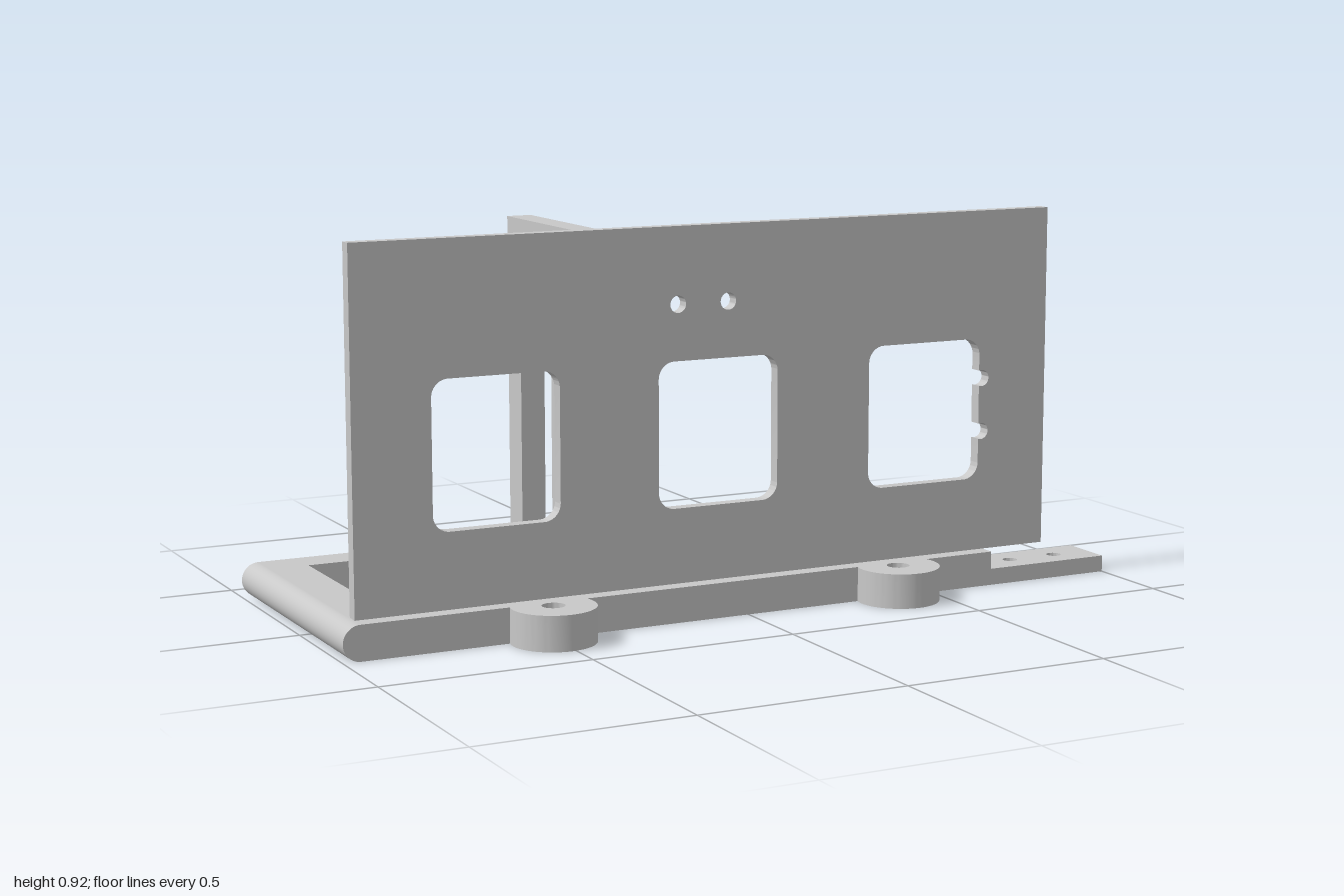
import * as THREE from 'three';
import { toCreasedNormals } from 'three/addons/utils/BufferGeometryUtils.js';

const BASE_H = 0.083, TONGUE_H = 0.04;
const FRONT = -0.287, BACK = 0.414;          // frame edges in plan (shape y = -z)
const BAR_F = -0.15, BAR_B = 0.325;          // inner edges of the long bars
const STEP_X = 0.671, LUG_X = [-0.51, 0.39];
const SCREW_R = 0.018, SCREW_X = 0.655;
const SCREW_Y = [0.12, 0.23];                // paired screw holes on the cross bars

const circle = (x, y, r) => new THREE.Path().absarc(x, y, r, 0, Math.PI * 2, true);

function polygon(points) {
  return new THREE.Shape(points.map(([x, y]) => new THREE.Vector2(x, y)));
}

function extrude(shape, depth) {
  return toCreasedNormals(
    new THREE.ExtrudeGeometry(shape, { depth, bevelEnabled: false, curveSegments: 24 }), 0.5);
}

// Plan-view shape raised upward from the ground
const slab = (shape, height) => extrude(shape, height).rotateX(-Math.PI / 2);

// Frame opening with a rounded pad reaching in from the front bar
function frameOpening(x0, x1, padX) {
  const a = Math.asin(0.4), p = new THREE.Path();
  p.moveTo(x0, BAR_B);
  p.lineTo(x0, BAR_F);
  p.absarc(padX, -0.19, 0.1, Math.PI - a, a, true);
  p.lineTo(x1, BAR_F);
  p.lineTo(x1, BAR_B);
  p.closePath();
  return p;
}

// Rounded plate window, optionally with small notches in its right edge
function plateWindow(x0, x1, notches = []) {
  const y0 = 0.262, y1 = 0.605, r = 0.04, h = Math.PI / 2, p = new THREE.Path();
  p.moveTo(x0 + r, y0);
  p.lineTo(x1 - r, y0);
  p.absarc(x1 - r, y0 + r, r, -h, 0, false);
  for (const y of notches) p.absarc(x1 + 0.007, y, 0.02, -1.93, 1.93, false);
  p.absarc(x1 - r, y1 - r, r, 0, h, false);
  p.absarc(x0 + r, y1 - r, r, h, 2 * h, false);
  p.absarc(x0 + r, y0 + r, r, 2 * h, 3 * h, false);
  p.closePath();
  return p;
}

export function createModel() {
  const model = new THREE.Group();
  const grey = new THREE.MeshStandardMaterial({ color: 0xc8c8c8 });
  grey.name = 'lightGrey';
  const add = (name, geometry) => {
    const mesh = new THREE.Mesh(geometry, grey);
    mesh.name = name;
    model.add(mesh);
  };

  // Base frame with two mounting lugs
  const endX = -1 + BASE_H / 2, lugY = -0.314, lugR = 0.099;
  const lugA = Math.asin((FRONT - lugY) / lugR);
  const cut = Math.acos((STEP_X - SCREW_X) / SCREW_R);
  const frame = new THREE.Shape();
  frame.moveTo(endX, BACK);
  frame.lineTo(endX, FRONT);
  for (const x of LUG_X) {
    frame.absarc(x, lugY, lugR, Math.PI - lugA, Math.PI * 2 + lugA, false);
  }
  frame.lineTo(STEP_X, FRONT);
  for (const y of SCREW_Y) frame.absarc(SCREW_X, y, SCREW_R, -cut, cut, true);
  frame.lineTo(STEP_X, BACK);
  frame.closePath();
  frame.holes.push(
    frameOpening(-0.863, -0.315, LUG_X[0]),
    frameOpening(-0.17, 0.585, LUG_X[1]),
    ...LUG_X.map(x => circle(x, lugY, 0.027)),
    ...SCREW_Y.map(y => circle(-0.243, y, SCREW_R)));
  add('baseFrame', slab(frame, BASE_H));

  // Rounded end bar
  const nose = new THREE.CylinderGeometry(
    BASE_H / 2, BASE_H / 2, BACK - FRONT, 24, 1, false, Math.PI, Math.PI);
  nose.rotateX(Math.PI / 2).translate(endX, BASE_H / 2, -(BACK + FRONT) / 2);
  add('roundedEnd', nose);

  // Low step with two tongues
  const tongues = new THREE.Shape();
  tongues.moveTo(STEP_X, FRONT);
  for (const [x, y] of [[1, FRONT], [1, BAR_F], [0.73, BAR_F], [0.73, BAR_B],
    [1, BAR_B], [1, BACK], [STEP_X, BACK]]) tongues.lineTo(x, y);
  for (const y of [...SCREW_Y].reverse()) {
    tongues.absarc(SCREW_X, y, SCREW_R, cut, -cut, true);
  }
  tongues.closePath();
  for (const x of [0.77, 0.9]) {
    for (const y of [-0.22, 0.35]) tongues.holes.push(circle(x, y, SCREW_R));
  }
  add('tongues', slab(tongues, TONGUE_H));

  // Upright plate with three windows
  const plate = polygon([[-0.96, 0.085], [0.837, 0.085], [0.837, 0.915], [-0.96, 0.915]]);
  plate.holes.push(
    plateWindow(-0.773, -0.464), plateWindow(-0.217, 0.092),
    plateWindow(0.339, 0.648, [0.378, 0.508]),
    circle(-0.167, 0.736, 0.02), circle(-0.038, 0.736, 0.02));
  add('uprightPlate', extrude(plate, 0.031).translate(0, 0, 0.224));

  // Cross bracket behind the plate, drawn in z and y
  const bracket = polygon([[-0.135, 0.083], [0.224, 0.083], [0.224, 0.915], [-0.135, 0.915]]);
  bracket.holes.push(
    polygon([[-0.063, 0.172], [0.11, 0.172], [0.11, 0.611], [-0.063, 0.611]]),
    circle(-0.054, 0.793, SCREW_R), circle(0.126, 0.793, SCREW_R));
  add('crossBracket', extrude(bracket, 0.06).rotateY(-Math.PI / 2).translate(-0.36, 0, 0));

  // Thin ledge at the foot of the plate
  add('ledge', new THREE.BoxGeometry(0.195, 0.008, 0.066).translate(-0.768, 0.086, 0.191));

  return model;
}
